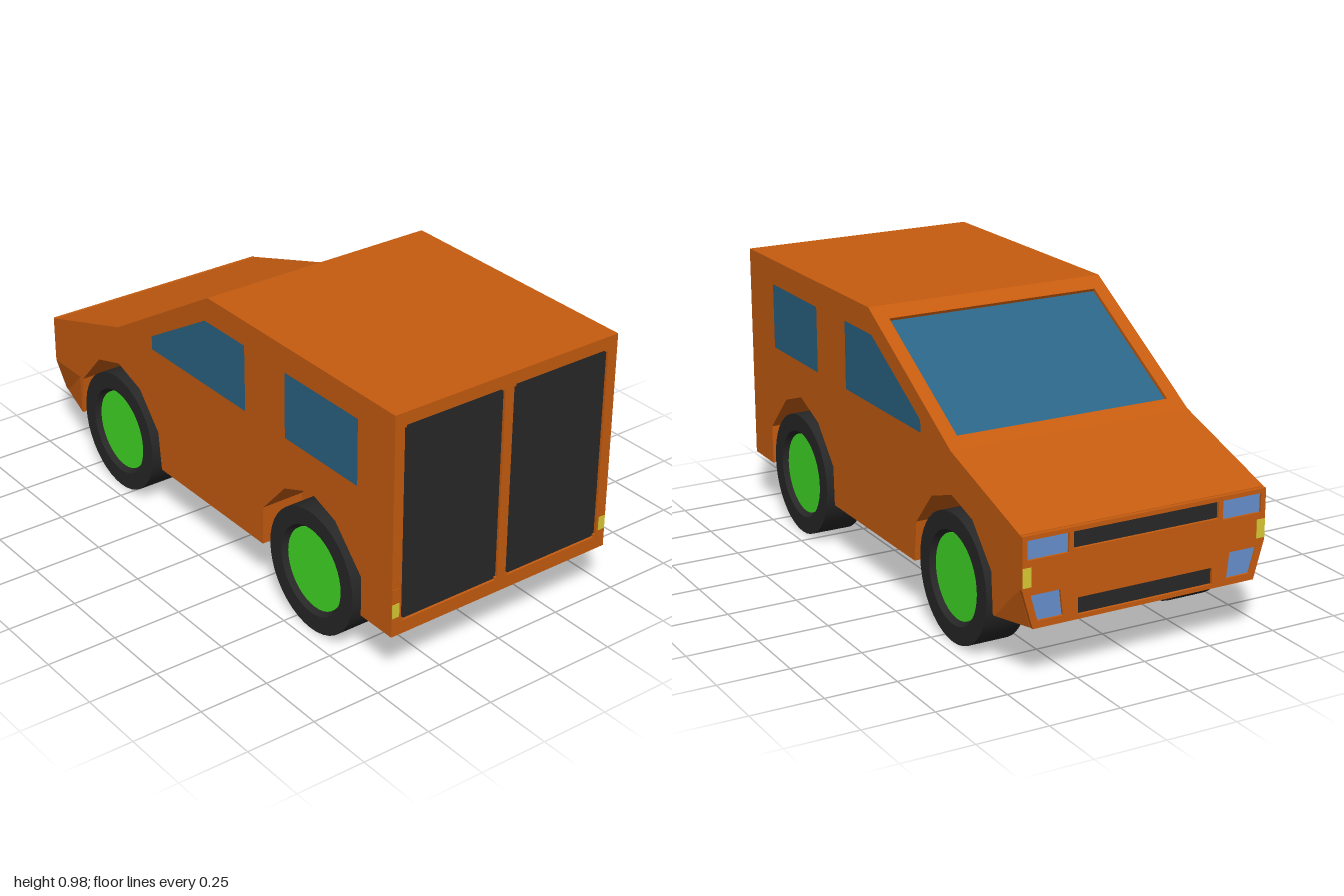
import * as THREE from 'three';
import { toCreasedNormals } from 'three/addons/utils/BufferGeometryUtils.js';

const paint = (name, color) => {
  const m = new THREE.MeshStandardMaterial({ color });
  m.name = name;
  return m;
};

export function createModel() {
  const van = new THREE.Group();
  van.name = 'van';
  const body = paint('orange paint', 0xc65c10);
  const glass = paint('blue glass', 0x2a6485);
  const dark = paint('dark rubber', 0x272727);
  const green = paint('green hub', 0x42dc26);
  const lamp = paint('headlight blue', 0x6690cc);
  const yellow = paint('indicator yellow', 0xdaca34);

  const add = (name, geometry, material, parent = van) => {
    const mesh = new THREE.Mesh(geometry, material);
    mesh.name = name;
    parent.add(mesh);
    return mesh;
  };
  const path = (pts) => pts.map(([x, y]) => new THREE.Vector2(x, y));
  const shapeOf = (pts, holes = []) => {
    const s = new THREE.Shape(path(pts));
    holes.forEach((h) => s.holes.push(new THREE.Path(path(h))));
    return s;
  };
  // Extrudes a [z, y] outline sideways from x0 to x1
  const acrossX = (pts, x0, x1, holes = []) => {
    const flip = (list) => list.map(([z, y]) => [-z, y]);
    const g = new THREE.ExtrudeGeometry(shapeOf(flip(pts), holes.map(flip)), { depth: x1 - x0, bevelEnabled: false });
    return g.translate(0, 0, x0).rotateY(Math.PI / 2);
  };
  // Extrudes an [x, y] outline lengthwise from z0 to z1
  const alongZ = (pts, z0, z1, holes = []) =>
    new THREE.ExtrudeGeometry(shapeOf(pts, holes), { depth: z1 - z0, bevelEnabled: false }).translate(0, 0, z0);
  const rect = (x0, y0, x1, y1) => [[x0, y0], [x1, y0], [x1, y1], [x0, y1]];
  const mirror = (pts) => pts.map(([x, y]) => [-x, y]);

  // Side outline of the body, optionally with wheel arches and a windscreen recess
  const B = 0.187;
  const frontArch = [[-0.82, B], [-0.81, 0.33], [-0.69, 0.46], [-0.555, 0.5], [-0.42, 0.455], [-0.31, 0.33], [-0.295, B]];
  const rearArch = [[0.315, B], [0.32, 0.33], [0.44, 0.46], [0.58, 0.515], [0.71, 0.47], [0.845, 0.33], [0.845, B]];
  const screenLow = [-0.5, 0.674], screenHigh = [-0.035, 0.948];
  const sink = ([z, y], d) => [z + 0.507 * d, y - 0.862 * d];
  const outline = (arches, recess) => [
    [-0.83, B],
    ...(arches ? [...frontArch, ...rearArch] : []),
    [0.985, B], [0.985, 0.975], [0.02, 0.98],
    ...(recess ? [screenHigh, sink(screenHigh, 0.016), sink(screenLow, 0.016), screenLow] : []),
    [-0.55, 0.645], [-0.985, 0.507], [-0.985, 0.33], [-0.83, 0.33],
  ];

  // Body built in layers from the centre outwards
  const rearWindow = rect(0.43, 0.64, 0.82, 0.885);
  const frontWindow = [[0.225, 0.64], [0.225, 0.89], [0, 0.89], [-0.345, 0.69], [-0.345, 0.64]];
  add('bodyCore', acrossX(outline(false, true), -0.29, 0.29), body);
  for (const s of [-1, 1]) {
    const layer = (name, pts, a, b, material, holes) =>
      add(name, acrossX(pts, Math.min(s * a, s * b), Math.max(s * a, s * b), holes), material);
    layer('innerSide', outline(true, true), 0.29, 0.4, body);
    layer('sideWall', outline(true, false), 0.4, 0.436, body);
    layer('sideSkin', outline(true, false), 0.436, 0.45, body, [rearWindow, frontWindow]);
    layer('rearSideWindow', rearWindow, 0.435, 0.44, glass);
    layer('frontSideWindow', frontWindow, 0.435, 0.44, glass);
  }
  add('windscreen', acrossX([sink(screenHigh, 0.012), sink(screenHigh, 0.018), sink(screenLow, 0.018), sink(screenLow, 0.012)], -0.4, 0.4), glass);

  // Lower nose, narrowing towards the front
  const chin = new THREE.BoxGeometry(0.9, 0.33 - B, 0.155).translate(0, (0.33 + B) / 2, -0.9075);
  const p = chin.attributes.position;
  for (let i = 0; i < p.count; i++) {
    if (p.getY(i) < 0.25 && p.getZ(i) < -0.9) p.setXYZ(i, Math.sign(p.getX(i)) * 0.414, 0.198, p.getZ(i));
  }
  const flatChin = chin.toNonIndexed();
  flatChin.computeVertexNormals();
  add('lowerNose', flatChin, body);

  // Nose face with openings for the grilles and lights
  const grilles = [rect(-0.268, 0.433, 0.268, 0.49), rect(-0.25, 0.213, 0.25, 0.27)];
  const headlight = rect(0.285, 0.425, 0.432, 0.49);
  const foglight = [[0.305, 0.222], [0.395, 0.222], [0.42, 0.31], [0.315, 0.31]];
  const lights = [headlight, mirror(headlight), foglight, mirror(foglight)];
  add('noseFace', alongZ([[-0.412, 0.198], [0.412, 0.198], [0.45, 0.33], [0.45, 0.505], [-0.45, 0.505], [-0.45, 0.33]],
    -1, -0.985, [...grilles, ...lights]), body);
  grilles.forEach((g) => add('grille', alongZ(g, -0.99, -0.984), dark));
  lights.forEach((l) => add('headlight', alongZ(l, -0.992, -0.984), lamp));

  // Rear face with two recessed door panels
  const doors = [rect(0.018, 0.235, 0.412, 0.93), rect(-0.412, 0.235, -0.018, 0.93)];
  add('rearFrame', alongZ(rect(-0.45, B, 0.45, 0.975), 0.985, 0.999, doors), body);
  doors.forEach((d) => add('rearDoorPanel', alongZ(d, 0.984, 0.99), dark));

  // Corner lamps, front and rear
  for (const s of [-1, 1]) {
    const plate = (name, y0, y1, x0, x1, z, material) =>
      add(name, new THREE.BoxGeometry(x1 - x0, y1 - y0, 0.004).translate(s * (x0 + x1) / 2, (y0 + y1) / 2, z), material);
    plate('frontIndicator', 0.338, 0.402, 0.418, 0.449, -1, yellow);
    plate('rearIndicator', 0.256, 0.305, 0.421, 0.448, 0.999, yellow);
    plate('rearLamp', 0.315, 0.36, 0.421, 0.448, 0.999, body);
    for (const x of [0.022, 0.408]) {
      for (const y of [0.239, 0.926]) {
        add('doorCorner', new THREE.BoxGeometry(0.008, 0.008, 0.012).translate(s * x, y, 0.992), body);
      }
    }
  }

  // Wheels: dished tyre with a flat hub disc
  const tyre = toCreasedNormals(new THREE.LatheGeometry(path([
    [0, -0.0725], [0.222, -0.0725], [0.222, 0.0725], [0.16, 0.0725], [0.146, 0.05], [0, 0.05],
  ]), 40), 0.5).rotateZ(-Math.PI / 2);
  const hub = new THREE.CylinderGeometry(0.146, 0.146, 0.006, 40).rotateZ(-Math.PI / 2).translate(0.052, 0, 0);
  for (const s of [-1, 1]) {
    for (const [name, z] of [['frontWheel', -0.567], ['rearWheel', 0.587]]) {
      const wheel = new THREE.Group();
      wheel.name = name;
      add('tyre', tyre, dark, wheel);
      add('hub', hub, green, wheel);
      wheel.position.set(s * 0.3825, 0.222, z);
      if (s < 0) wheel.rotation.y = Math.PI;
      van.add(wheel);
    }
  }
  return van;
}
